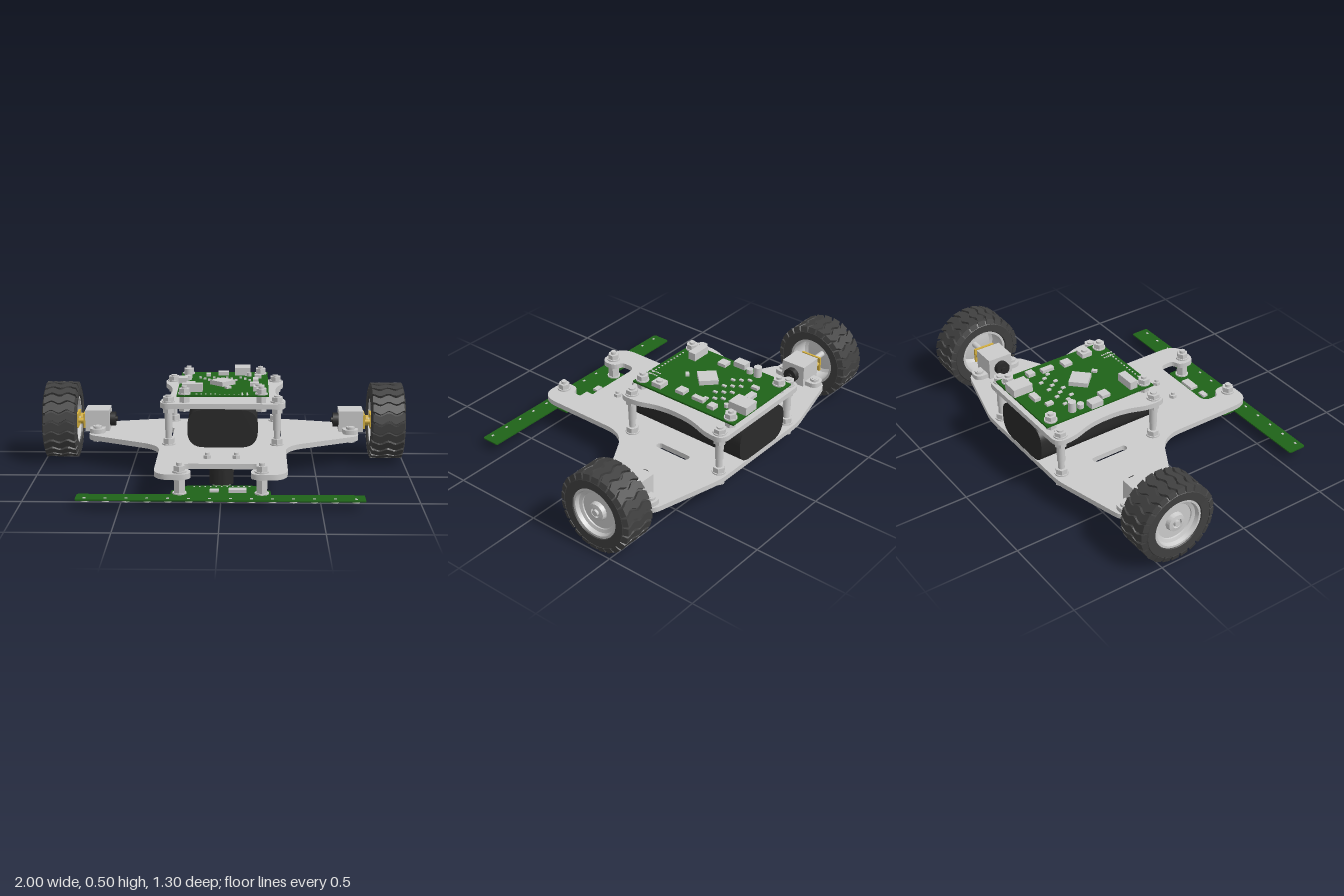
import * as THREE from 'three';
import { toCreasedNormals, mergeGeometries } from 'three/addons/utils/BufferGeometryUtils.js';

const mat = (color, extra = {}) => new THREE.MeshStandardMaterial({ color, ...extra });
const GREY = mat(0xcccccc), GREY_FLAT = mat(0xcccccc, { flatShading: true });
const GREY_LATHE = mat(0xcccccc, { side: THREE.DoubleSide });
const RUBBER = mat(0x404040), RUBBER_LATHE = mat(0x404040, { side: THREE.DoubleSide });
const BLACK = mat(0x2a2a2a), GREEN = mat(0x1f6318), GOLD = mat(0xd4b040);

function add(parent, name, geo, material, x = 0, y = 0, z = 0) {
  const m = new THREE.Mesh(geo, material);
  m.name = name;
  m.position.set(x, y, z);
  parent.add(m);
  return m;
}

function group(parent, name) {
  const g = new THREE.Group();
  g.name = name;
  parent.add(g);
  return g;
}

// Box given by its limits on each axis
function block(parent, name, material, x0, x1, y0, y1, z0, z1) {
  return add(parent, name, new THREE.BoxGeometry(x1 - x0, y1 - y0, z1 - z0), material,
    (x0 + x1) / 2, (y0 + y1) / 2, (z0 + z1) / 2);
}

// Closed outline with softened corners, points are [x, z, cornerLength]
function outline(pts, path = new THREE.Shape()) {
  const n = pts.length;
  pts.forEach(([x, z, r], i) => {
    const toward = ([px, pz]) => {
      const d = Math.hypot(px - x, pz - z);
      const k = Math.min(r / d, 0.5);
      return [x + (px - x) * k, z + (pz - z) * k];
    };
    const a = toward(pts[(i + n - 1) % n]), b = toward(pts[(i + 1) % n]);
    if (i === 0) path.moveTo(...a); else path.lineTo(...a);
    path.quadraticCurveTo(x, z, ...b);
  });
  path.closePath();
  return path;
}

const mirrored = half => [...half, ...half.map(([x, z, r]) => [-x, z, r]).reverse()];

// Horizontal slab from an outline in x and z
function slab(shape, y0, y1) {
  const g = new THREE.ExtrudeGeometry(shape, { depth: y1 - y0, bevelEnabled: false, curveSegments: 10 });
  g.rotateX(Math.PI / 2).translate(0, y1, 0);
  return toCreasedNormals(g, 0.6);
}

// Stack of round and hexagonal pieces: [y0, y1, radius, sides]
function fastener(parent, name, x, z, parts) {
  const g = group(parent, name);
  g.position.set(x, 0, z);
  for (const [y0, y1, r, sides = 20] of parts)
    add(g, sides === 6 ? 'hexNut' : 'shank', new THREE.CylinderGeometry(r, r, y1 - y0, sides),
      sides === 6 ? GREY_FLAT : GREY, 0, (y0 + y1) / 2, 0);
}

// Turned part around the x axis, profile points are [radius, x]
function turned(profile, segments = 48) {
  const pts = [...profile].map(p => new THREE.Vector2(...p));
  return toCreasedNormals(new THREE.LatheGeometry(pts, segments).rotateZ(-Math.PI / 2), 0.6);
}

function axle(parent, name, material, r, x0, x1, y = 0, z = 0) {
  const geo = new THREE.CylinderGeometry(r, r, x1 - x0, 20).rotateZ(Math.PI / 2);
  return add(parent, name, geo, material, (x0 + x1) / 2, y, z);
}

// Wavy tread bars standing on the tyre
function treadGeometry(count) {
  const steps = 16, width = 0.041, lugs = [], top = [], bottom = [];
  for (let i = 0; i <= steps; i++) {
    const u = i / steps, x = 0.81 + 0.19 * u;
    const t = 0.009 * Math.cos(u * Math.PI * 4) + 0.006 * (u - 0.5);
    bottom.push(new THREE.Vector2(x, t - width / 2));
    top.unshift(new THREE.Vector2(x, t + width / 2));
  }
  const lug = new THREE.ExtrudeGeometry(new THREE.Shape([...bottom, ...top]), { depth: 0.028, bevelEnabled: false });
  lug.translate(0, 0, 0.183);
  const p = lug.attributes.position;
  for (let i = 0; i < p.count; i++) // narrower at the crown
    if (p.getZ(i) > 0.2) p.setX(i, 0.905 + (p.getX(i) - 0.905) * 0.9);
  lug.computeVertexNormals();
  for (let i = 0; i < count; i++) lugs.push(lug.clone().rotateX(i * 2 * Math.PI / count));
  return mergeGeometries(lugs);
}

// Wheel, motor and bracket for the +x side
function driveUnit(tread) {
  const g = new THREE.Group();
  const w = group(g, 'wheel');
  w.position.y = 0.222;
  add(w, 'tyre', turned([[0.13, 0.825], [0.137, 0.812], [0.18, 0.811], [0.197, 0.828], [0.197, 0.982],
    [0.18, 0.999], [0.137, 0.998], [0.13, 0.985], [0.13, 0.825]]), RUBBER_LATHE);
  add(w, 'tread', tread, RUBBER);
  add(w, 'rim', turned([[0, 0.93], [0.05, 0.93], [0.1, 0.94], [0.116, 0.93], [0.12, 0.82], [0.134, 0.82],
    [0.134, 0.992], [0.122, 0.992], [0.115, 0.972], [0.098, 0.966], [0.096, 0.96], [0.05, 0.96],
    [0.045, 0.982], [0.026, 0.985], [0.024, 0.975], [0, 0.975]]), GREY_LATHE);
  axle(w, 'axle', GREY, 0.016, 0.8, 0.99);

  const m = group(g, 'motor');
  block(m, 'motorBracket', GREY, 0.64, 0.775, 0.17, 0.288, -0.07, 0.07);
  axle(m, 'motorCan', BLACK, 0.04, 0.61, 0.645, 0.225);
  axle(m, 'motorTerminalCap', BLACK, 0.015, 0.6, 0.612, 0.225);
  for (const x of [0.775, 0.815]) block(m, 'gearboxPlate', GOLD, x, x + 0.012, 0.185, 0.265, -0.06, 0.06);
  for (const z of [-0.045, 0.045]) axle(m, 'gearboxPost', GOLD, 0.012, 0.775, 0.835, 0.225, z);
  axle(m, 'gear', GOLD, 0.03, 0.792, 0.807, 0.225, 0.01);
  for (const s of [-1, 1]) {
    const tab = slab(outline([[0.66, s * 0.06, 0.001], [0.745, s * 0.06, 0.001],
      [0.745, s * 0.14, 0.045], [0.66, s * 0.14, 0.045]]), 0.17, 0.195);
    add(m, 'bracketTab', tab, GREY);
    fastener(m, 'bracketScrew', 0.703, s * 0.103, [[0.122, 0.142, 0.027, 6], [0.12, 0.21, 0.014], [0.195, 0.208, 0.024]]);
  }
  return g;
}

export function createModel() {
  const model = new THREE.Group();

  // Base plate with two slots and a front notch
  const base = outline(mirrored([[0.335, -0.655, 0.05], [0.745, -0.55, 0.05], [0.745, -0.24, 0.04],
    [0.335, -0.01, 0.11], [0.335, 0.575, 0.11], [0.15, 0.575, 0.07], [0.15, 0.475, 0.04],
    [0.205, 0.455, 0.02], [0.205, 0.365, 0.05]]));
  for (const s of [-1, 1])
    base.holes.push(outline([[s * 0.28, -0.42, 0.02], [s * 0.318, -0.42, 0.02],
      [s * 0.318, -0.215, 0.02], [s * 0.28, -0.215, 0.02]], new THREE.Path()));
  add(model, 'basePlate', slab(base, 0.142, 0.17), GREY);

  // Waisted upper plate
  add(model, 'upperPlate', slab(outline(mirrored([[0.335, -0.655, 0.06], [0.335, -0.55, 0.05],
    [0.285, -0.41, 0.08], [0.285, -0.23, 0.08], [0.335, -0.1, 0.05], [0.335, 0.012, 0.06]])), 0.375, 0.403), GREY);

  // Battery pack
  const pack = new THREE.ExtrudeGeometry(outline([[-0.187, 0.172, 0.09], [0.187, 0.172, 0.09],
    [0.187, 0.375, 0.09], [-0.187, 0.375, 0.09]]), { depth: 0.688, bevelEnabled: false, curveSegments: 12 });
  add(model, 'batteryPack', toCreasedNormals(pack, 0.6), BLACK, 0, 0, -0.655);

  // Posts between the plates, circuit board screws, sensor standoffs
  for (const s of [-1, 1]) {
    for (const z of [-0.605, -0.04]) {
      fastener(model, 'platePost', s * 0.29, z, [[0.108, 0.135, 0.034, 6], [0.135, 0.142, 0.036], [0.12, 0.44, 0.017],
        [0.17, 0.177, 0.036], [0.177, 0.205, 0.033, 6], [0.25, 0.345, 0.021], [0.345, 0.368, 0.033, 6],
        [0.368, 0.375, 0.036], [0.403, 0.41, 0.036], [0.41, 0.432, 0.033, 6]]);
      fastener(model, 'boardScrew', s * 0.205, z, [[0.355, 0.375, 0.032, 6], [0.36, 0.49, 0.015],
        [0.403, 0.437, 0.03, 6], [0.446, 0.453, 0.034], [0.453, 0.478, 0.031, 6]]);
    }
    fastener(model, 'sensorStandoff', s * 0.205, 0.525, [[0.035, 0.053, 0.03, 6], [0.04, 0.22, 0.015],
      [0.06, 0.067, 0.036], [0.067, 0.135, 0.031, 6], [0.135, 0.142, 0.036], [0.17, 0.178, 0.036], [0.178, 0.205, 0.031, 6]]);
    fastener(model, 'casterScrew', s * 0.075, 0.25, [[0.142, 0.2, 0.011], [0.17, 0.187, 0.022, 6]]);
  }

  // Main circuit board and its parts: [x, z, width, depth, height, turn]
  const board = group(model, 'mainBoard');
  block(board, 'boardPanel', GREEN, -0.245, 0.245, 0.437, 0.446, -0.652, -0.008);
  const chips = [[-0.005, -0.3, 0.1, 0.1, 0.025, Math.PI / 4], [0.102, -0.6, 0.088, 0.11, 0.045, 0],
    [-0.165, -0.112, 0.11, 0.045, 0.043, 0], [0.192, -0.142, 0.06, 0.06, 0.025, 0],
    [-0.225, -0.355, 0.05, 0.07, 0.03, 0], [-0.005, -0.573, 0.06, 0.035, 0.02, 0],
    [-0.18, -0.272, 0.05, 0.05, 0.018, 0], [0.17, -0.272, 0.05, 0.05, 0.018, 0],
    [0.177, -0.385, 0.03, 0.07, 0.018, 0], [0.19, -0.48, 0.04, 0.04, 0.02, 0],
    [-0.09, -0.54, 0.025, 0.04, 0.014, 0], [0.025, -0.19, 0.03, 0.02, 0.012, 0.7]];
  for (const [x, z, w, d, h, turn] of chips)
    block(board, 'chip', GREY, x - w / 2, x + w / 2, 0.446, 0.446 + h, z - d / 2, z + d / 2).rotation.y = turn;
  for (const [x, z, r, h] of [[-0.2, -0.475, 0.021, 0.055], [-0.2, -0.425, 0.018, 0.025], [0.192, -0.142, 0.018, 0.035], [0.14, -0.53, 0.012, 0.02]])
    add(board, 'capacitor', new THREE.CylinderGeometry(r, r, h, 20), GREY, x, 0.446 + h / 2, z);
  for (let i = 0; i < 12; i++) {
    const x = -0.14 + 0.025 * i, z = -0.485 + 0.035 * (i % 3);
    block(board, 'resistor', GREY, x, x + 0.014, 0.446, 0.454, z, z + 0.022);
    block(board, 'pin', GREY, x - 0.004, x + 0.004, 0.446, 0.449, -0.034, -0.026);
    const px = 0.1 + 0.027 * (i % 2), pz = -0.075 + 0.012 * (i >> 1);
    block(board, 'pin', GREY, px, px + 0.008, 0.446, 0.449, pz, pz + 0.007);
  }

  // Front line sensor bar
  const bar = group(model, 'sensorBar');
  add(bar, 'sensorPanel', slab(outline(mirrored([[0.185, 0.38, 0.035], [0.185, 0.47, 0.001], [0.25, 0.47, 0.01],
    [0.25, 0.542, 0.001], [0.715, 0.542, 0.012], [0.715, 0.645, 0.012]])), 0.053, 0.06), GREEN);
  for (let i = 0; i < 14; i++) {
    const x = -0.67 + i * 0.103;
    add(bar, 'sensorEye', new THREE.CylinderGeometry(0.02, 0.02, 0.013, 16), GREY, x, 0.0465, 0.6);
    block(bar, 'sensorPad', GREY, x - 0.007, x + 0.007, 0.06, 0.063, 0.613, 0.622);
  }
  block(bar, 'sensorChip', GREY, 0.04, 0.13, 0.06, 0.075, 0.467, 0.512);
  block(bar, 'sensorChip', GREY, -0.055, -0.01, 0.06, 0.072, 0.48, 0.51);
  for (let i = 0; i < 11; i++) block(bar, 'sensorPin', GREY, -0.14 + i * 0.028, -0.132 + i * 0.028, 0.06, 0.063, 0.4, 0.408);

  // Ball caster held between two curved jaws
  const caster = group(model, 'ballCaster');
  caster.position.z = 0.257;
  add(caster, 'casterBall', new THREE.SphereGeometry(0.058, 32, 24), GREY, 0, 0.063, 0);
  add(caster, 'casterCap', new THREE.CylinderGeometry(0.076, 0.076, 0.022, 32), BLACK, 0, 0.131, 0);
  block(caster, 'casterFlange', BLACK, -0.1, 0.1, 0.125, 0.142, -0.03, 0.03);
  for (const mid of [Math.PI / 2, -Math.PI / 2]) {
    const jaw = new THREE.Shape();
    jaw.absarc(0, 0, 0.076, mid - 0.95, mid + 0.95, false);
    jaw.absarc(0, 0, 0.058, mid + 0.95, mid - 0.95, true);
    add(caster, 'casterJaw', slab(jaw, 0.048, 0.125), BLACK);
  }

  // Drive units on both sides
  const tread = treadGeometry(24);
  for (const [name, turn] of [['leftDrive', 0], ['rightDrive', Math.PI]]) {
    const unit = driveUnit(tread);
    unit.name = name;
    unit.position.z = -0.404;
    unit.rotation.y = turn;
    model.add(unit);
  }
  return model;
}
